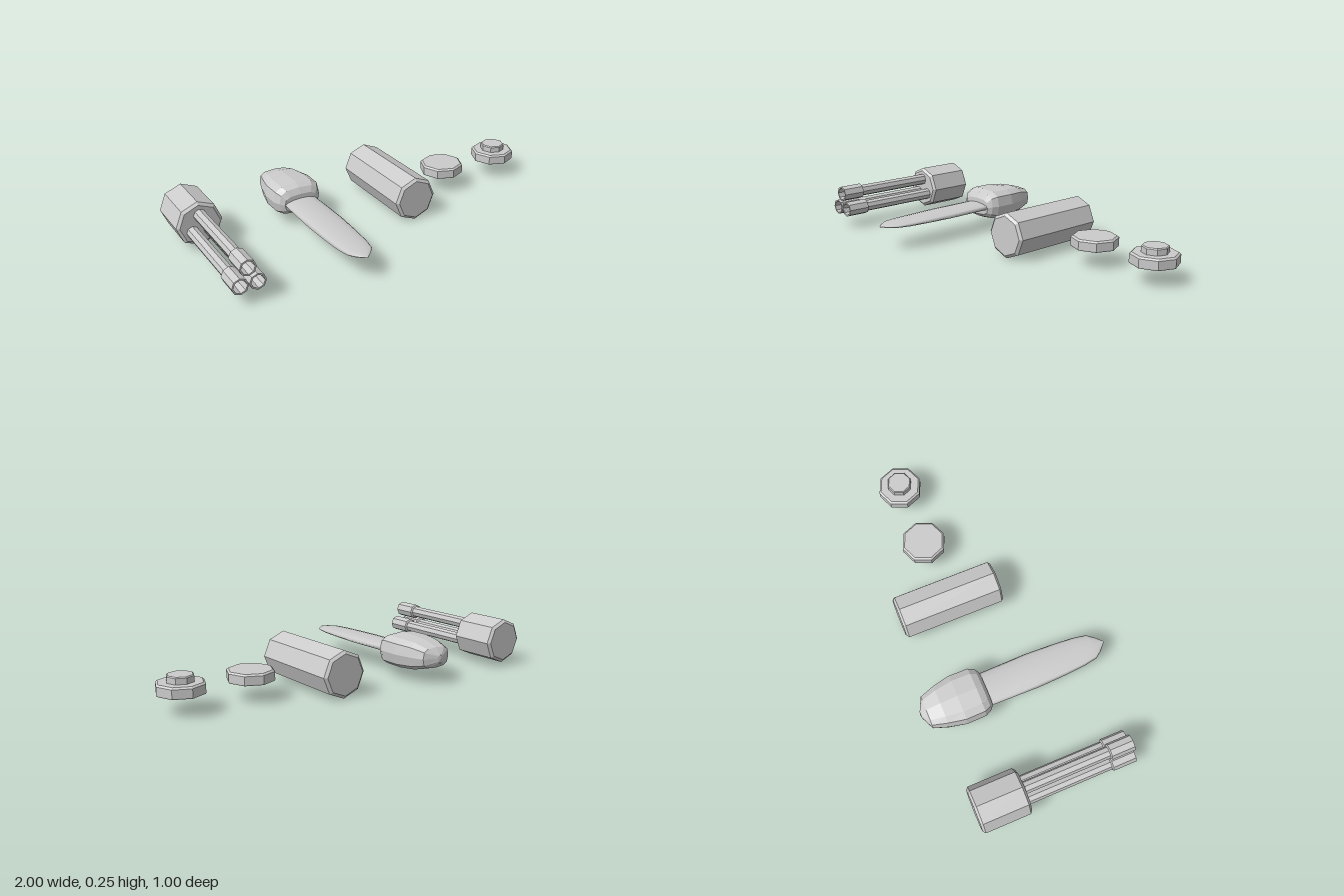
import * as THREE from 'three';

const flat = new THREE.MeshStandardMaterial({ color: 0xcccccc, flatShading: true });
const smooth = new THREE.MeshStandardMaterial({ color: 0xcccccc });

// Eight-sided turned part; profile points are [radius, height].
function turned(name, profile, sides = 8) {
  const points = profile.map(([r, h]) => new THREE.Vector2(r, h));
  const mesh = new THREE.Mesh(new THREE.LatheGeometry(points, sides), flat);
  mesh.name = name;
  return mesh;
}

// Turned part lying along z, with the profile heights read as z.
function turnedAlongZ(name, profile, x, y, sides) {
  const mesh = turned(name, profile, sides);
  mesh.rotation.x = Math.PI / 2;
  mesh.position.set(x, y, 0);
  return mesh;
}

// Drum with narrow bevels at both ends.
function drum(name, r, z0, z1, x, y) {
  const b = 0.012;
  return turnedAlongZ(name, [
    [0, z0], [r - 0.015, z0], [r, z0 + b], [r, z1 - b], [r - 0.015, z1], [0, z1],
  ], x, y);
}

// Skin over sections [z, half width, bottom y, top y]; power < 1 squares the outline.
function loft(name, sections, sides, power, material) {
  const pos = [], index = [];
  const bulge = (v) => Math.sign(v) * Math.abs(v) ** power;
  sections.forEach(([z, w, y0, y1], i) => {
    for (let j = 0; j < sides; j++) {
      const a = (j / sides) * Math.PI * 2;
      pos.push(w * bulge(Math.cos(a)), (y0 + y1) / 2 + ((y1 - y0) / 2) * bulge(Math.sin(a)), z);
      if (i === sections.length - 1) continue;
      const p = i * sides + j, q = i * sides + ((j + 1) % sides);
      index.push(p, q, p + sides, q, q + sides, p + sides);
    }
  });
  const geometry = new THREE.BufferGeometry();
  geometry.setAttribute('position', new THREE.Float32BufferAttribute(pos, 3));
  geometry.setIndex(index);
  geometry.computeVertexNormals();
  const mesh = new THREE.Mesh(geometry, material);
  mesh.name = name;
  return mesh;
}

function createModel() {
  const model = new THREE.Group();

  // Three-barrelled attachment: drum, slim barrels and hollow muzzles
  const gun = new THREE.Group();
  gun.name = 'barrelAttachment';
  gun.add(drum('barrelHousing', 0.117, -0.43, -0.175, -0.88, 0.14));
  for (const [x, y] of [[-0.878, 0.19], [-0.92, 0.108], [-0.836, 0.108]]) {
    gun.add(turnedAlongZ('barrel', [
      [0, -0.18], [0.031, -0.18], [0.031, 0.265], [0.041, 0.27], [0.041, 0.39],
      [0.033, 0.39], [0.03, 0.29], [0, 0.28],
    ], x, y));
  }
  model.add(gun);

  // Blade attachment: rounded body with a long thin blade
  const knife = new THREE.Group();
  knife.name = 'bladeAttachment';
  knife.position.x = -0.35;
  knife.add(loft('bladeHousing', [
    [-0.5, 0, 0.135, 0.135], [-0.497, 0.015, 0.115, 0.155], [-0.465, 0.085, 0.085, 0.19],
    [-0.39, 0.11, 0.063, 0.212], [-0.3, 0.13, 0.056, 0.22], [-0.2, 0.128, 0.056, 0.22],
    [-0.168, 0.112, 0.068, 0.205], [-0.15, 0.09, 0.085, 0.175], [-0.148, 0, 0.13, 0.13],
  ], 12, 0.65, flat));
  knife.add(loft('blade', [
    [-0.16, 0.088, 0.108, 0.152], [0.1, 0.093, 0.108, 0.15], [0.25, 0.087, 0.11, 0.147],
    [0.36, 0.079, 0.113, 0.144], [0.43, 0.066, 0.117, 0.141], [0.465, 0.04, 0.12, 0.137],
    [0.497, 0.006, 0.127, 0.131], [0.5, 0, 0.129, 0.129],
  ], 12, 1, smooth));
  model.add(knife);

  // Plain long drum
  model.add(drum('longDrum', 0.117, -0.415, 0.122, 0.173, 0.12));

  // Two flat caps, the outer one with a raised button
  const capProfile = [[0, 0.095], [0.115, 0.095], [0.117, 0.1], [0.117, 0.14], [0.107, 0.148], [0, 0.148]];
  const buttonProfile = [[0.065, 0.146], [0.065, 0.176], [0.06, 0.181], [0, 0.181]];
  const plainCap = turned('plainCap', capProfile);
  plainCap.position.set(0.523, 0, -0.145);
  const buttonCap = new THREE.Group();
  buttonCap.name = 'buttonCap';
  buttonCap.add(turned('capBase', capProfile), turned('capButton', buttonProfile));
  buttonCap.position.set(0.882, 0, -0.145);
  model.add(plainCap, buttonCap);

  return model;
}

export { createModel };
